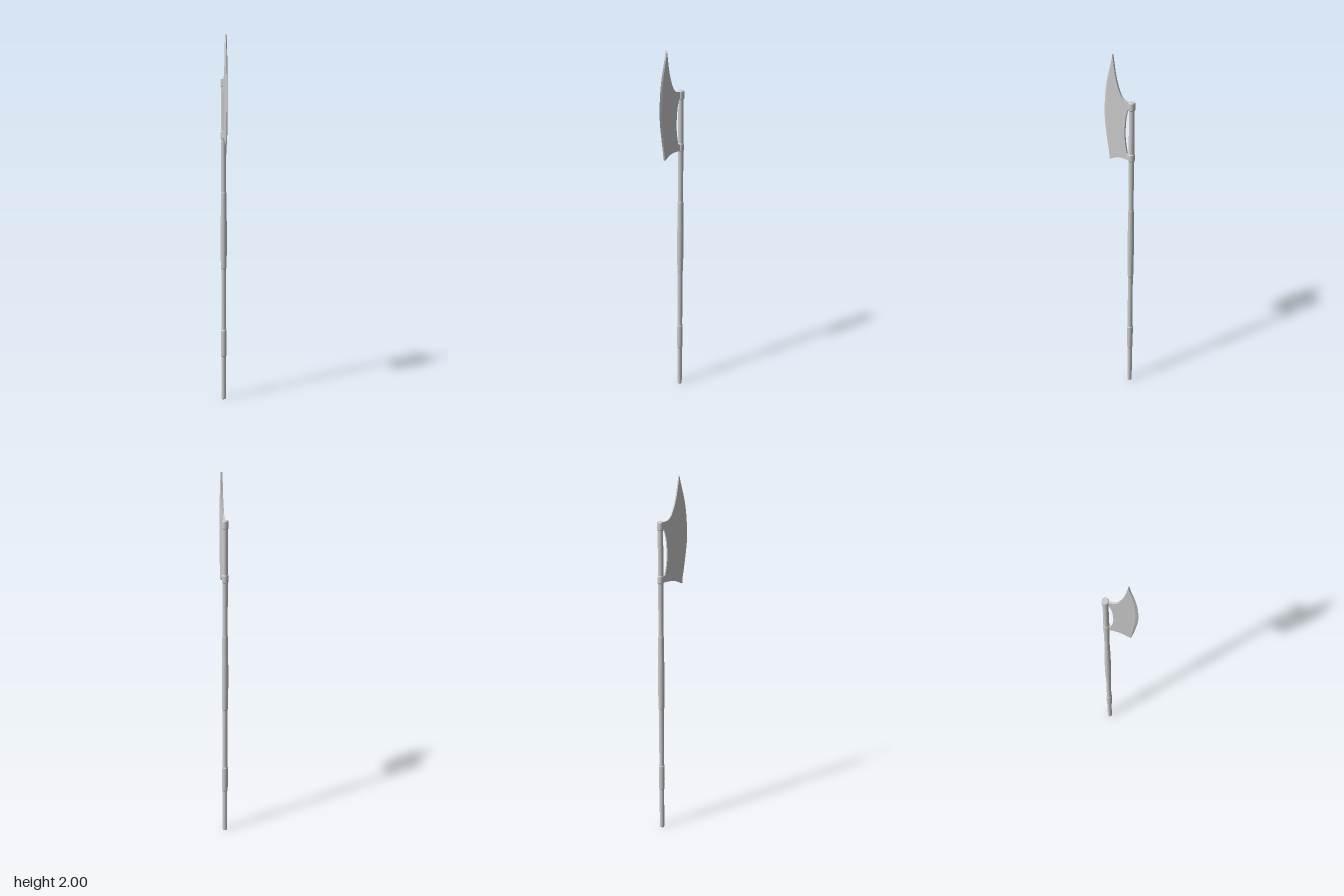
import * as THREE from 'three';

const material = new THREE.MeshStandardMaterial({ color: 0xcccccc });
const POLE_Z = -0.071;
const HALF = 0.005; // half thickness of the blade

const v2 = ([z, y]) => new THREE.Vector2(z, y);

function add(group, name, geometry) {
  const mesh = new THREE.Mesh(geometry, material);
  mesh.name = name;
  group.add(mesh);
  return mesh;
}

// Turned part around the pole axis, profile as [radius, y]
function addTurned(group, name, profile) {
  // Doubled points keep the profile corners crisp
  const pts = profile.flatMap((p, i) => (i && i < profile.length - 1 ? [v2(p), v2(p)] : [v2(p)]));
  add(group, name, new THREE.LatheGeometry(pts, 20)).position.z = POLE_Z;
}

// Cutting edge as [z, y], bottom horn to top tip
const edge = new THREE.SplineCurve([
  [0.056, 1.44], [0.075, 1.56], [0.087, 1.69], [0.075, 1.845], [0.037, 1.997],
].map(v2)).getPoints(28);

// Line where the flat of the blade meets the sharpened bevel
const bevelLine = edge.map((p, i) =>
  new THREE.Vector2(p.x - 0.013 * Math.sin((Math.PI * i) / (edge.length - 1)), p.y));

function bladeBody() {
  const shape = new THREE.Shape(bevelLine);
  // Back of the top horn, upper arm
  shape.splineThru([[0.023, 1.905], [0.008, 1.845], [-0.011, 1.8], [-0.031, 1.78], [-0.053, 1.775]].map(v2));
  shape.lineTo(-0.066, 1.775);
  shape.lineTo(-0.066, 1.738);
  // Inner opening in front of the pole
  shape.lineTo(-0.052, 1.738);
  shape.splineThru([[-0.039, 1.69], [-0.033, 1.61], [-0.037, 1.55], [-0.047, 1.499]].map(v2));
  // Lower arm and underside
  shape.lineTo(-0.066, 1.499);
  shape.lineTo(-0.066, 1.464);
  shape.lineTo(-0.04, 1.464);
  shape.splineThru([[0.0, 1.464], [0.025, 1.455], [0.056, 1.44]].map(v2));

  const g = new THREE.ExtrudeGeometry(shape, { depth: 2 * HALF, bevelEnabled: false, curveSegments: 6 });
  g.translate(0, 0, -HALF);
  g.rotateY(-Math.PI / 2);
  // Flare the arms where they join the collars
  const p = g.attributes.position;
  for (let i = 0; i < p.count; i++) {
    if (p.getZ(i) < -0.06) p.setX(i, p.getX(i) * 1.8);
  }
  g.computeVertexNormals();
  return g;
}

// Two sloping faces running from the flats to the cutting edge
function bladeBevel() {
  const pos = [];
  const index = [];
  for (const side of [1, -1]) {
    const base = pos.length / 3;
    edge.forEach((p, i) => {
      const b = bevelLine[i];
      pos.push(side * HALF, b.y, b.x, 0, p.y, p.x);
      if (i === edge.length - 1) return;
      const a = base + 2 * i;
      if (side > 0) index.push(a, a + 2, a + 3, a, a + 3, a + 1);
      else index.push(a, a + 3, a + 2, a, a + 1, a + 3);
    });
  }
  const g = new THREE.BufferGeometry();
  g.setAttribute('position', new THREE.Float32BufferAttribute(pos, 3));
  g.setIndex(index);
  g.computeVertexNormals();
  return g;
}

export function createModel() {
  const group = new THREE.Group();
  group.name = 'poleAxe';

  // Pole with a long middle grip and a short lower grip
  addTurned(group, 'pole', [
    [0, 0], [0.011, 0], [0.013, 0.004], [0.013, 0.25], [0.0155, 0.256], [0.0165, 0.32],
    [0.0165, 0.4], [0.0135, 0.406], [0.0135, 0.75], [0.0155, 0.756], [0.0172, 0.85], [0.0172, 1.0],
    [0.016, 1.04], [0.015, 1.17], [0.0135, 1.175], [0.0135, 1.33], [0.0145, 1.46], [0.0135, 1.74], [0, 1.74],
  ]);

  // Collars holding the blade arms
  for (const [name, y0, y1] of [['lowerCollar', 1.46, 1.502], ['upperCollar', 1.735, 1.778]]) {
    addTurned(group, name, [
      [0, y0], [0.0145, y0], [0.017, y0 + 0.004], [0.017, y1 - 0.004], [0.0145, y1], [0, y1],
    ]);
  }

  const blade = new THREE.Group();
  blade.name = 'blade';
  add(blade, 'bladeBody', bladeBody());
  add(blade, 'bladeBevel', bladeBevel());
  group.add(blade);

  return group;
}
